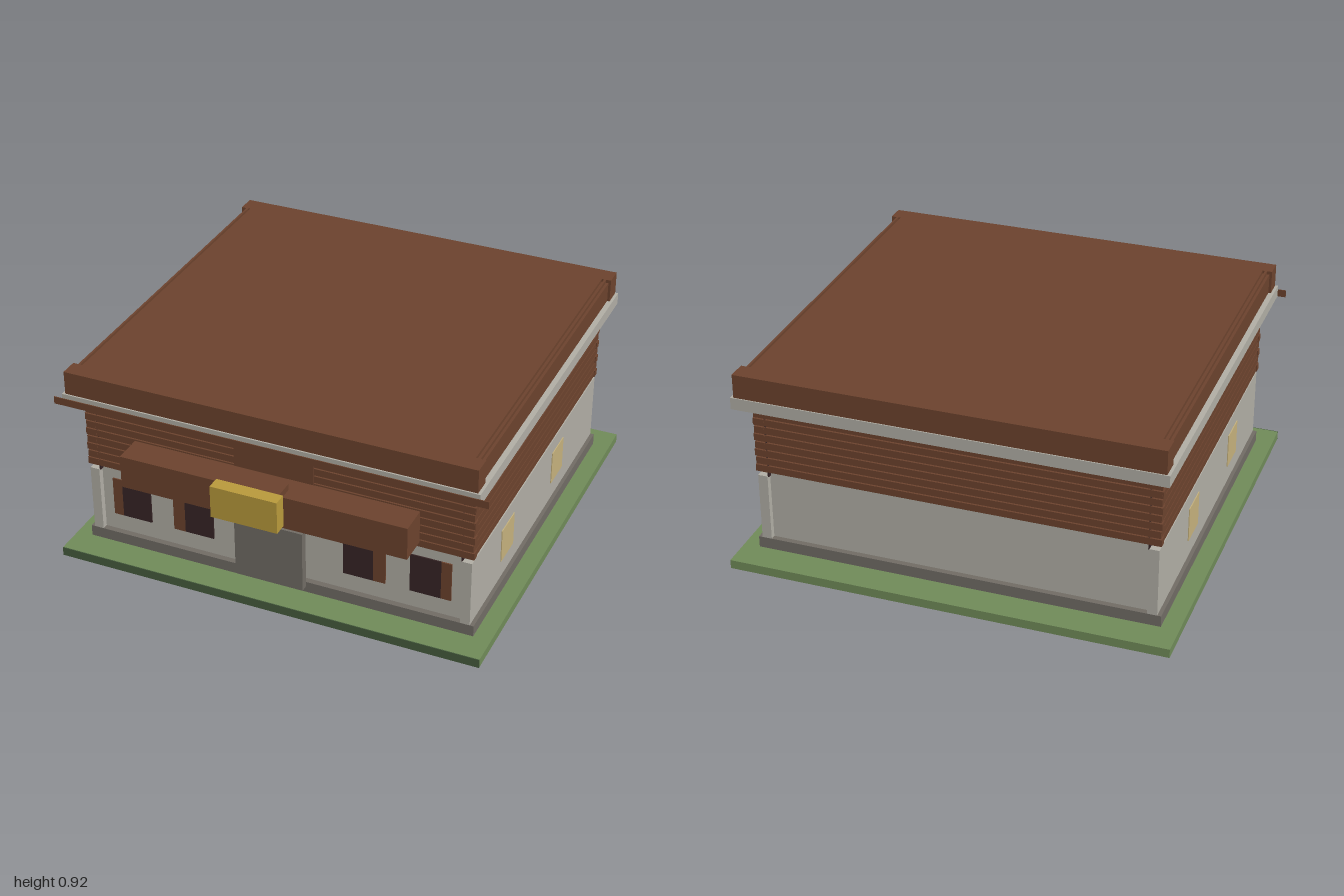
import * as THREE from 'three';

const mat = (name, color) => Object.assign(new THREE.MeshStandardMaterial({ color }), { name });

export function createModel() {
  const model = new THREE.Group();
  model.name = 'logStore';
  const brown = mat('timber brown', 0x6b422d);
  const wall = mat('pale plaster', 0xb0ada4);
  const stone = mat('grey stone', 0x706b64);
  const dark = mat('dark glass', 0x362425);
  const gold = mat('gold', 0xb8993b);
  const tan = mat('tan glass', 0xc4b07c);
  const green = mat('grass green', 0x6f8a58);
  const darkGreen = mat('dark green', 0x465c3d);

  // Box given by its limits on each axis
  const box = (name, m, x0, x1, y0, y1, z0, z1, parent = model) => {
    const mesh = new THREE.Mesh(new THREE.BoxGeometry(x1 - x0, y1 - y0, z1 - z0), m);
    mesh.position.set((x0 + x1) / 2, (y0 + y1) / 2, (z0 + z1) / 2);
    mesh.name = name;
    parent.add(mesh);
    return mesh;
  };
  // Same box on the right and left
  const pair = (name, m, x0, x1, ...rest) => {
    box(name + 'Left', m, x0, x1, ...rest);
    box(name + 'Right', m, -x1, -x0, ...rest);
  };

  // Ground slab with a darker front edge
  box('ground', green, -0.965, 0.965, 0, 0.04, -1, 0.841);
  box('groundFrontEdge', darkGreen, -0.965, 0.965, 0, 0.04, 0.841, 0.845);

  // Lower storey: recessed front and back between projecting side walls
  box('lowerCore', wall, -0.83, 0.83, 0.04, 0.41, -0.845, 0.69);
  pair('sideWall', wall, 0.83, 0.873, 0.097, 0.405, -0.87, 0.717);
  pair('sidePlinth', stone, 0.83, 0.89, 0.046, 0.097, -0.85, 0.697);
  box('frontPlinth', stone, -0.89, 0.89, 0.046, 0.097, 0.685, 0.717);
  box('backPlinth', stone, -0.89, 0.89, 0.046, 0.097, -0.87, -0.838);

  // Upper storey core, dark along the sides
  box('upperCore', brown, -0.825, 0.825, 0.41, 0.76, -0.845, 0.69);
  pair('sideBacking', dark, 0.825, 0.832, 0.4, 0.757, -0.865, 0.71);

  // Stacked logs
  const pitch = 0.0368;
  for (let i = 0; i < 9; i++) {
    const y = 0.425 + i * pitch;
    const over = i % 2 ? 0.874 : 0.881;
    box('frontLog', brown, -over, over, y, y + 0.031, 0.685, 0.716);
    box('backLog', brown, -over, over, y, y + 0.031, -0.869, -0.838);
    if (i < 8) pair('sideLog', brown, 0.832, 0.877, y, y + 0.031, -0.87, 0.717);
  }

  // Eaves and thin front fascia
  box('eaves', wall, -0.928, 0.928, 0.757, 0.81, -0.96, 0.807);
  box('fascia', brown, -0.965, 0.965, 0.757, 0.79, 0.808, 0.812);

  // Roof with end blocks and narrow slots along the sides
  box('roof', brown, -0.872, 0.872, 0.81, 0.915, -0.955, 0.8);
  pair('slotFloor', brown, 0.872, 0.904, 0.81, 0.9, -0.87, 0.72);
  pair('roofRail', brown, 0.882, 0.892, 0.9, 0.915, -0.87, 0.72);
  pair('frontRoofEnd', brown, 0.872, 0.915, 0.81, 0.915, 0.72, 0.8);
  pair('backRoofEnd', brown, 0.872, 0.915, 0.81, 0.915, -0.955, -0.87);

  // Awning, sign bracket and sign
  box('awning', brown, -0.645, 0.645, 0.447, 0.597, 0.69, 0.848);
  box('signBacking', brown, -0.18, 0.18, 0.59, 0.7, 0.69, 0.718);
  box('signBracket', brown, -0.1, 0.1, 0.595, 0.626, 0.79, 0.876);
  box('sign', gold, -0.148, 0.148, 0.53, 0.677, 0.94, 1);

  // Door
  box('door', stone, -0.155, 0.155, 0.102, 0.388, 0.75, 0.785);

  // Front windows with an outer shutter
  for (const [inner, split, outer] of [[0.3, 0.435, 0.49], [0.598, 0.735, 0.78]]) {
    pair('frontPane', dark, inner, split, 0.178, 0.36, 0.69, 0.696);
    pair('frontShutter', brown, split, outer, 0.178, 0.36, 0.69, 0.696);
  }

  // Side windows
  for (const z of [0.29, -0.352]) {
    pair('sideWindow', tan, 0.873, 0.877, 0.182, 0.338, z - 0.074, z + 0.074);
  }
  return model;
}
